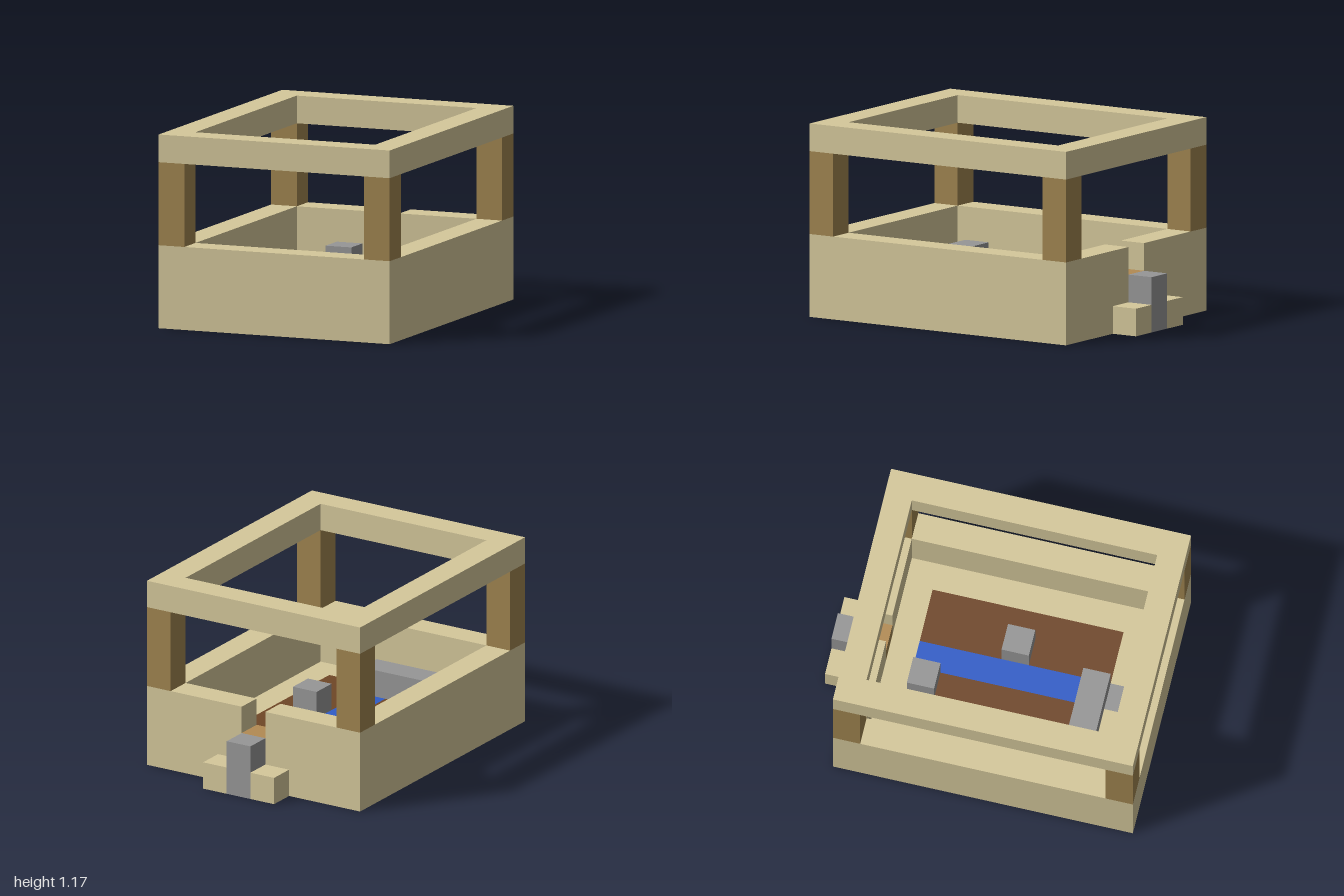
import * as THREE from 'three';

const U = 1 / 6; // one block

const material = (name, color) => {
  const m = new THREE.MeshStandardMaterial({ color });
  m.name = name;
  return m;
};

export function createModel() {
  const group = new THREE.Group();
  const sandstone = material('sandstone', 0xd5c89b);
  const timber = material('timber', 0xa08550);
  const cutTimber = material('cutTimber', 0xb38b53);
  const soil = material('soil', 0x704727);
  const water = material('water', 0x2f5cc8);
  const grass = material('grass', 0x6a9443);
  const stone = material('stone', 0x979797);

  const add = (name, geometry, mat) => {
    const mesh = new THREE.Mesh(geometry, mat);
    mesh.name = name;
    group.add(mesh);
  };

  // Box between two corners, in blocks
  const box = (name, mat, [x0, y0, z0], [x1, y1, z1]) => {
    const g = new THREE.BoxGeometry((x1 - x0) * U, (y1 - y0) * U, (z1 - z0) * U);
    g.translate((x0 + x1) / 2 * U, (y0 + y1) / 2 * U, (z0 + z1) / 2 * U);
    add(name, g, mat);
  };

  // Upright prism from a counter-clockwise x-z outline with an optional hole, in blocks
  const prism = (name, mat, y0, y1, outline, hole) => {
    const toPoints = (list) => list.map(([x, z]) => new THREE.Vector2(x * U, -z * U));
    const shape = new THREE.Shape(toPoints(outline));
    if (hole) shape.holes.push(new THREE.Path(toPoints(hole)));
    const g = new THREE.ExtrudeGeometry(shape, { depth: (y1 - y0) * U, bevelEnabled: false });
    g.rotateX(-Math.PI / 2);
    g.translate(0, y0 * U, 0);
    add(name, g, mat);
  };

  const rect = (x, z0, z1) => [[-x, z1], [x, z1], [x, z0], [-x, z0]];

  // Floor slab, open where the garden bed is set in
  prism('floor', sandstone, 0, 1, rect(4.5, -5, 6),
    [[-2.5, -3], [2.5, -3], [2.5, 4], [0.5, 4], [0.5, 5], [-0.5, 5], [-0.5, 4], [-2.5, 4]]);

  // Low wall with a doorway in the back
  prism('wall', sandstone, 1, 3, [
    [0.5, -5], [0.5, -4], [3.5, -4], [3.5, 5], [-3.5, 5], [-3.5, -4],
    [-0.5, -4], [-0.5, -5], [-4.5, -5], [-4.5, 6], [4.5, 6], [4.5, -5]]);

  // Timber block in the doorway, cut face on top
  box('doorBlock', [timber, timber, cutTimber, cutTimber, timber, timber],
    [-0.5, 1, -5], [0.5, 2, -4]);

  // Corner posts and top frame
  for (const x of [-4.5, 3.5])
    for (const z of [-5, 5]) box('post', timber, [x, 3, z], [x + 1, 6, z + 1]);
  prism('topFrame', sandstone, 6, 7, rect(4.5, -5, 6), rect(3.5, -4, 5));

  // Garden bed with a water channel
  for (const x of [-2.5, 0.5]) box('soilBed', soil, [x, 0, -3], [x + 2, 1, 4]);
  box('waterChannel', water, [-0.5, 0, -3], [0.5, 1, 3]);
  box('grassBlock', grass, [-0.5, 0, 3], [0.5, 1, 4]);
  box('channelEnd', stone, [-0.5, 0, 4], [0.5, 1, 5]);

  // Stone blocks standing on the floor
  box('stoneBench', stone, [-2.5, 1, 3], [0.5, 2, 4]);
  box('stoneBlock', stone, [-1.5, 1, -3], [-0.5, 2, -2]);
  box('stoneBlock', stone, [0.5, 1, 0], [1.5, 2, 1]);

  // Step outside the doorway
  box('stepPillar', stone, [-0.5, 0, -6], [0.5, 2, -5]);
  for (const x of [-1.5, 0.5]) box('stepSide', sandstone, [x, 0, -6], [x + 1, 1, -5]);

  return group;
}
